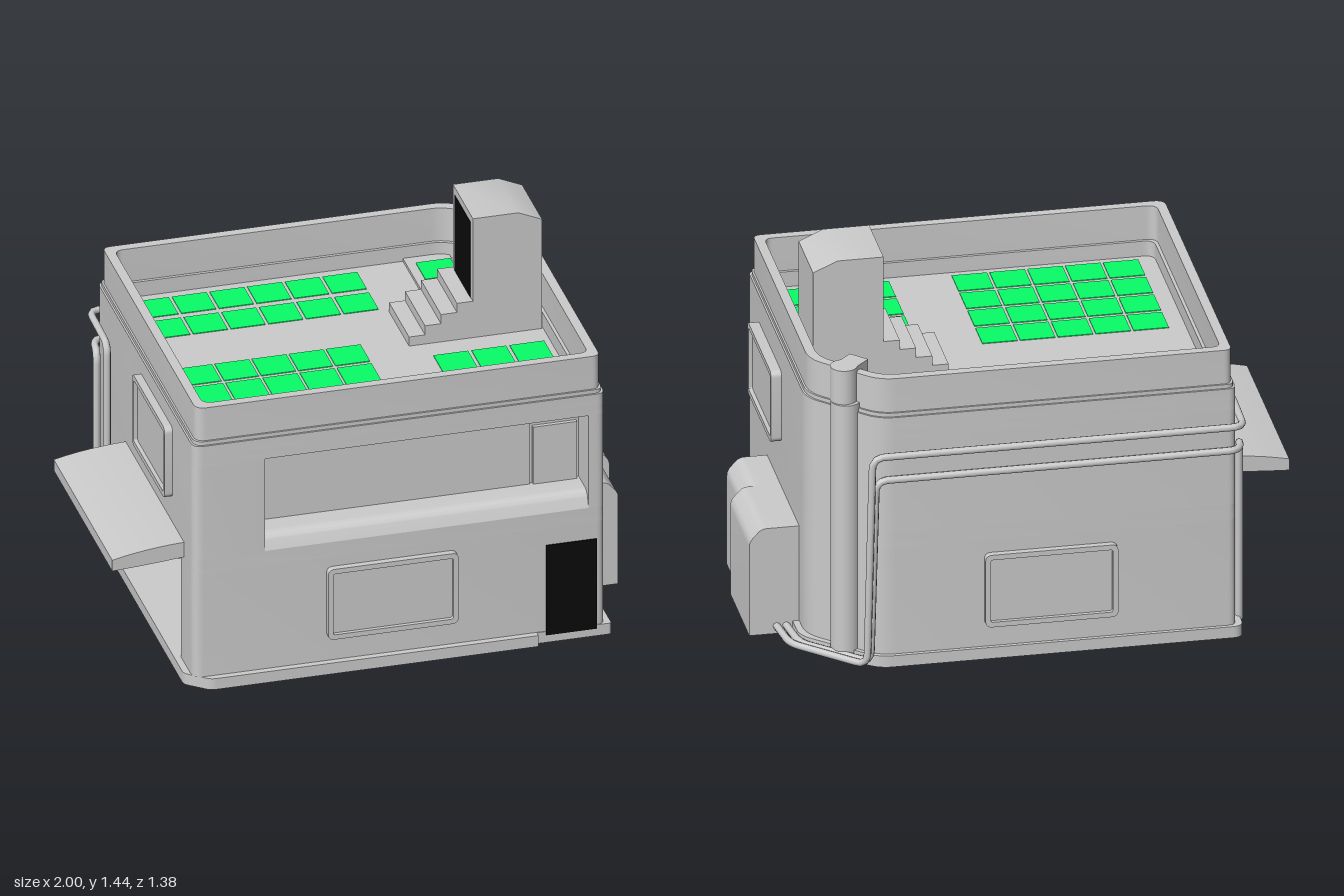
import * as THREE from 'three';
import { toCreasedNormals } from 'three/addons/utils/BufferGeometryUtils.js';

const grey = new THREE.MeshStandardMaterial({ color: 0xcccccc });
const black = new THREE.MeshStandardMaterial({ color: 0x0a0a0a });
const green = new THREE.MeshStandardMaterial({ color: 0x08fd66 });

// Polygon of [x, y, radius] corners, each rounded by its radius
function roundedPoly(pts, Type = THREE.Shape) {
  const s = new Type();
  const n = pts.length;
  pts.forEach(([x, y, r = 0], i) => {
    const p = new THREE.Vector2(x, y);
    const toward = ([a, b]) => new THREE.Vector2(a, b).sub(p).normalize().multiplyScalar(r).add(p);
    const a = toward(pts[(i + n - 1) % n]);
    const b = toward(pts[(i + 1) % n]);
    if (i) s.lineTo(a.x, a.y); else s.moveTo(a.x, a.y);
    if (r) s.quadraticCurveTo(x, y, b.x, b.y);
  });
  s.closePath();
  return s;
}

function extrude(shape, depth) {
  const g = new THREE.ExtrudeGeometry(shape, { depth, bevelEnabled: false, curveSegments: 6 });
  return toCreasedNormals(g, 0.6);
}

function createMesh(parent, name, geometry, material = grey) {
  const m = new THREE.Mesh(geometry, material);
  m.name = name;
  parent.add(m);
  return m;
}

function box(parent, name, [x0, x1], [y0, y1], [z0, z1], material) {
  const m = createMesh(parent, name, new THREE.BoxGeometry(x1 - x0, y1 - y0, z1 - z0), material);
  m.position.set((x0 + x1) / 2, (y0 + y1) / 2, (z0 + z1) / 2);
  return m;
}

// Footprint of the building as [x, z, radius], with optional notches
function footprint(inset = 0, notch = '') {
  const L = -0.73 + inset, R = 0.816 - inset, F = 0.665 - inset, B = -0.63 + inset;
  const c = 0.23 - 0.59 * inset;
  const p = [[L, B, 0.03], [R - c, B, 0.06], [R, B + c, 0.06], [R, F, 0.03]];
  if (notch === 'front') p.push([0.755, F], [0.755, 0.53], [-0.46, 0.53], [-0.46, F]);
  p.push([L, F, 0.04]);
  if (notch === 'left') p.push([L, 0.5], [L + 0.25, 0.5], [L + 0.25, -0.22], [L, -0.22]);
  return p;
}

// Horizontal slab of a footprint between two heights
function slab(parent, name, pts, y0, y1, holePts) {
  const flip = (list) => list.map(([x, z, r]) => [x, -z, r]).reverse();
  const shape = roundedPoly(flip(pts));
  if (holePts) shape.holes.push(roundedPoly(flip(holePts), THREE.Path));
  const g = extrude(shape, y1 - y0);
  g.rotateX(-Math.PI / 2);
  const m = createMesh(parent, name, g);
  m.position.y = y0;
  return m;
}

// Balcony moulding: a [-z, y] profile run along x
function moulding(parent, name, profile) {
  const g = extrude(roundedPoly(profile), 1.215);
  g.rotateY(Math.PI / 2);
  createMesh(parent, name, g).position.x = -0.46;
}

// Framed window: centre, size and turn about y
function addWindow(parent, name, pos, w, h, turn) {
  const g = new THREE.Group();
  g.name = name;
  const rect = (k, r, T) => roundedPoly([[-w / 2 + k, -h / 2 + k, r], [w / 2 - k, -h / 2 + k, r],
    [w / 2 - k, h / 2 - k, r], [-w / 2 + k, h / 2 - k, r]], T);
  const frame = rect(0, 0.025);
  frame.holes.push(rect(0.02, 0.008, THREE.Path));
  createMesh(g, 'windowFrame', extrude(frame, 0.045)).position.z = -0.015;
  createMesh(g, 'windowPane', new THREE.BoxGeometry(w - 0.03, h - 0.03, 0.03));
  g.position.set(...pos);
  g.rotation.y = turn;
  parent.add(g);
}

// Pipe with rounded bends through a list of points
function addPipe(parent, name, points, radius) {
  const v = points.map((p) => new THREE.Vector3(...p));
  const path = new THREE.CurvePath();
  let last = v[0];
  for (let i = 1; i < v.length - 1; i++) {
    const r = 0.045;
    const a = v[i - 1].clone().sub(v[i]).setLength(r).add(v[i]);
    const b = v[i + 1].clone().sub(v[i]).setLength(r).add(v[i]);
    path.add(new THREE.LineCurve3(last, a));
    path.add(new THREE.QuadraticBezierCurve3(a, v[i], b));
    last = b;
  }
  path.add(new THREE.LineCurve3(last, v[v.length - 1]));
  createMesh(parent, name, new THREE.TubeGeometry(path, 160, radius, 8));
}

export function createModel() {
  const model = new THREE.Group();
  model.name = 'building';

  // Walls, stacked in bands so that the recesses stay open
  slab(model, 'baseSkirt', [[-0.755, -0.645, 0.04], [0.59, -0.645, 0.05], [0.84, -0.41, 0.05], [0.84, 0.668, 0.01],
    [0.56, 0.668], [0.56, 0.69], [-0.67, 0.69, 0.02], [-0.755, 0.62, 0.02]], 0, 0.045);
  slab(model, 'lowerWalls', footprint(0, 'left'), 0.045, 0.47);
  slab(model, 'middleWalls', footprint(), 0.47, 0.53);
  slab(model, 'upperWalls', footprint(0, 'front'), 0.53, 0.91);
  slab(model, 'roofSlab', footprint(), 0.91, 0.95);
  slab(model, 'roofEdge', footprint(), 0.95, 0.995, footprint(0.062));
  slab(model, 'roofShoulder', footprint(0.007), 0.995, 1.01, footprint(0.062));
  slab(model, 'parapet', footprint(0.014), 1.01, 1.145, footprint(0.05));

  // Front balcony: sloping ceiling and sill, back panel and inner door
  moulding(model, 'balconyCeiling', [[-0.665, 0.91], [-0.53, 0.91], [-0.53, 0.84]]);
  moulding(model, 'balconySill', [[-0.665, 0.53], [-0.53, 0.53], [-0.53, 0.59], [-0.64, 0.59, 0.025]]);
  box(model, 'balconyPanel', [-0.46, 0.57], [0.59, 0.84], [0.52, 0.54]);
  box(model, 'balconyDoor', [0.58, 0.745], [0.59, 0.825], [0.52, 0.545]);
  box(model, 'frontDoor', [0.595, 0.785], [0.03, 0.4], [0.64, 0.67], black);

  // Windows on the four sides
  addWindow(model, 'frontWindow', [0.015, 0.285, 0.66], 0.49, 0.29, 0);
  addWindow(model, 'backWindow', [-0.045, 0.275, -0.625], 0.49, 0.29, Math.PI);
  addWindow(model, 'leftWindow', [0.825, 0.745, 0.26], 0.44, 0.285, Math.PI / 2);
  addWindow(model, 'rightWindow', [-0.73, 0.785, 0.165], 0.44, 0.29, -Math.PI / 2);

  // Curved awning over the side opening
  const awning = new THREE.Shape();
  awning.moveTo(-0.72, 0.54);
  awning.quadraticCurveTo(-0.87, 0.535, -1, 0.505);
  awning.lineTo(-1, 0.46);
  awning.quadraticCurveTo(-0.87, 0.465, -0.72, 0.48);
  awning.closePath();
  createMesh(model, 'awning', extrude(awning, 0.79)).position.z = -0.25;

  // Side annex in two steps
  for (const [name, x, z0, z1] of [['annexBack', 1, -0.29, 0.065], ['annexFront', 0.965, 0.065, 0.31]]) {
    const profile = roundedPoly([[0.78, 0], [x, 0], [x, 0.375, 0.02], [x - 0.045, 0.425, 0.02], [0.78, 0.425]]);
    createMesh(model, name, extrude(profile, z1 - z0)).position.z = z0;
  }

  // Duct in the cut corner, with a cap
  const duct = createMesh(model, 'cornerDuct', new THREE.CylinderGeometry(0.055, 0.055, 1.0, 20));
  duct.position.set(0.69, 0.53, -0.52);
  const cap = createMesh(model, 'ductCap', new THREE.BoxGeometry(0.11, 0.13, 0.08));
  cap.position.set(0.665, 1.098, -0.485);
  cap.rotation.y = Math.PI / 4;
  createMesh(model, 'ductTop', new THREE.CylinderGeometry(0.05, 0.05, 0.135, 20)).position.set(0.695, 1.097, -0.512);

  // Two pipes around the back
  [[0.86, 0.672, 0, -0.41], [0.755, 0.648, 0.035, -0.55]].forEach(([y, z, k, zEnd]) => addPipe(model, 'backPipe', [
    [0.9 - k, 0.03, -0.28], [0.88 - k, 0.03, -0.44], [0.64 - k / 2, 0.03, -z], [0.62 - k / 2, y, -z],
    [-0.75 + k / 4, y, -z], [-0.755, y, zEnd], [-0.755, 0.03, zEnd]], 0.014));

  // Stair housing on the roof, its door and steps
  const housing = extrude(roundedPoly([[0.49, 0.95], [0.75, 0.95], [0.75, 1.4], [0.66, 1.44], [0.49, 1.44]]), 0.27);
  createMesh(model, 'stairHousing', housing).position.z = -0.215;
  box(model, 'roofDoor', [0.488, 0.5], [1.1, 1.41], [-0.19, 0.025], black);
  for (let i = 0; i < 4; i++) {
    box(model, 'roofStep', [0.25 + i * 0.06, 0.49], [0.95 + i * 0.0375, 0.9875 + i * 0.0375], [-0.215, 0.055]);
  }

  // Green roof panels: start x, start z, columns, rows, pitch x, pitch z, height
  box(model, 'panelPlinth', [0.4, 0.57], [0.95, 0.962], [-0.57, -0.215]);
  const grids = [[-0.62, -0.53, 6, 2, 0.1415, 0.16, 0.95], [-0.605, 0, 5, 4, 0.1395, 0.148, 0.95],
    [0.315, 0.15, 3, 3, 0.143, 0.147, 0.95], [0.435, -0.52, 1, 2, 0, 0.16, 0.962]];
  for (const [x0, z0, cols, rows, px, pz, y] of grids) {
    for (let i = 0; i < cols * rows; i++) {
      const x = x0 + (i % cols) * px;
      const z = z0 + Math.floor(i / cols) * pz;
      box(model, 'roofPanel', [x, x + 0.13], [y, y + 0.003], [z, z + 0.13], green);
    }
  }
  return model;
}
